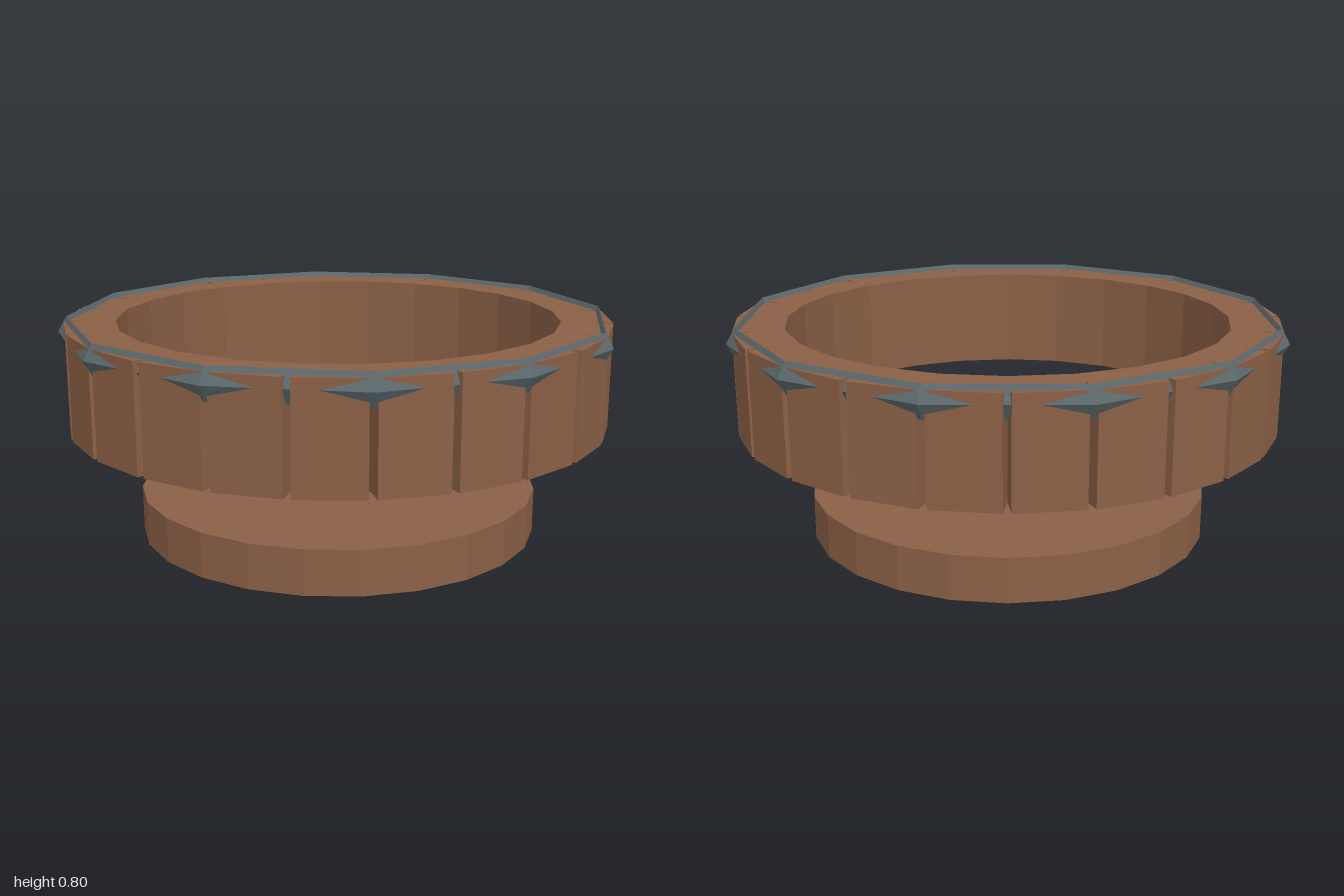
import * as THREE from 'three';

const SIDES = 24;
const polar = (radius, angle, offset = 0) => new THREE.Vector2(
  radius * Math.cos(angle) - offset * Math.sin(angle),
  radius * Math.sin(angle) + offset * Math.cos(angle)
);

// Ring of staves: 24-sided outline with a V groove at every corner
function staveRingGeometry(bottom, top) {
  const outer = [];
  const inner = [];
  for (let i = 0; i < SIDES; i++) {
    const a = (i / SIDES) * Math.PI * 2;
    outer.push(polar(0.975, a, -0.013), polar(0.88, a), polar(0.975, a, 0.013));
    inner.push(polar(0.795, a));
  }
  const shape = new THREE.Shape(outer);
  shape.holes.push(new THREE.Path(inner));
  const geometry = new THREE.ExtrudeGeometry(shape, { depth: top - bottom, bevelEnabled: false });
  geometry.rotateX(-Math.PI / 2);
  geometry.translate(0, bottom, 0);
  return geometry;
}

export function createModel() {
  const wood = new THREE.MeshStandardMaterial({ color: 0x8b6046, flatShading: true });
  wood.name = 'brown wood';
  const iron = new THREE.MeshStandardMaterial({ color: 0x5b686b, flatShading: true });
  iron.name = 'grey iron';

  const model = new THREE.Group();
  model.name = 'woodenRingAndBase';
  const add = (name, geometry, material) => {
    const mesh = new THREE.Mesh(geometry, material);
    mesh.name = name;
    model.add(mesh);
    return mesh;
  };

  // Round base disc, separate from the ring above it
  add('baseDisc', new THREE.CylinderGeometry(0.725, 0.725, 0.16, SIDES), wood).position.y = 0.08;

  // Grooved wooden ring
  add('staveRing', staveRingGeometry(0.413, 0.783), wood);

  // Twelve-sided iron hoop whose corners poke out through the staves
  const hoop = new THREE.TorusGeometry(0.967, 0.031, 4, 12);
  hoop.rotateX(Math.PI / 2);
  hoop.scale(1, 1.77, 1);
  add('ironHoop', hoop, iron).position.y = 0.745;

  return model;
}
